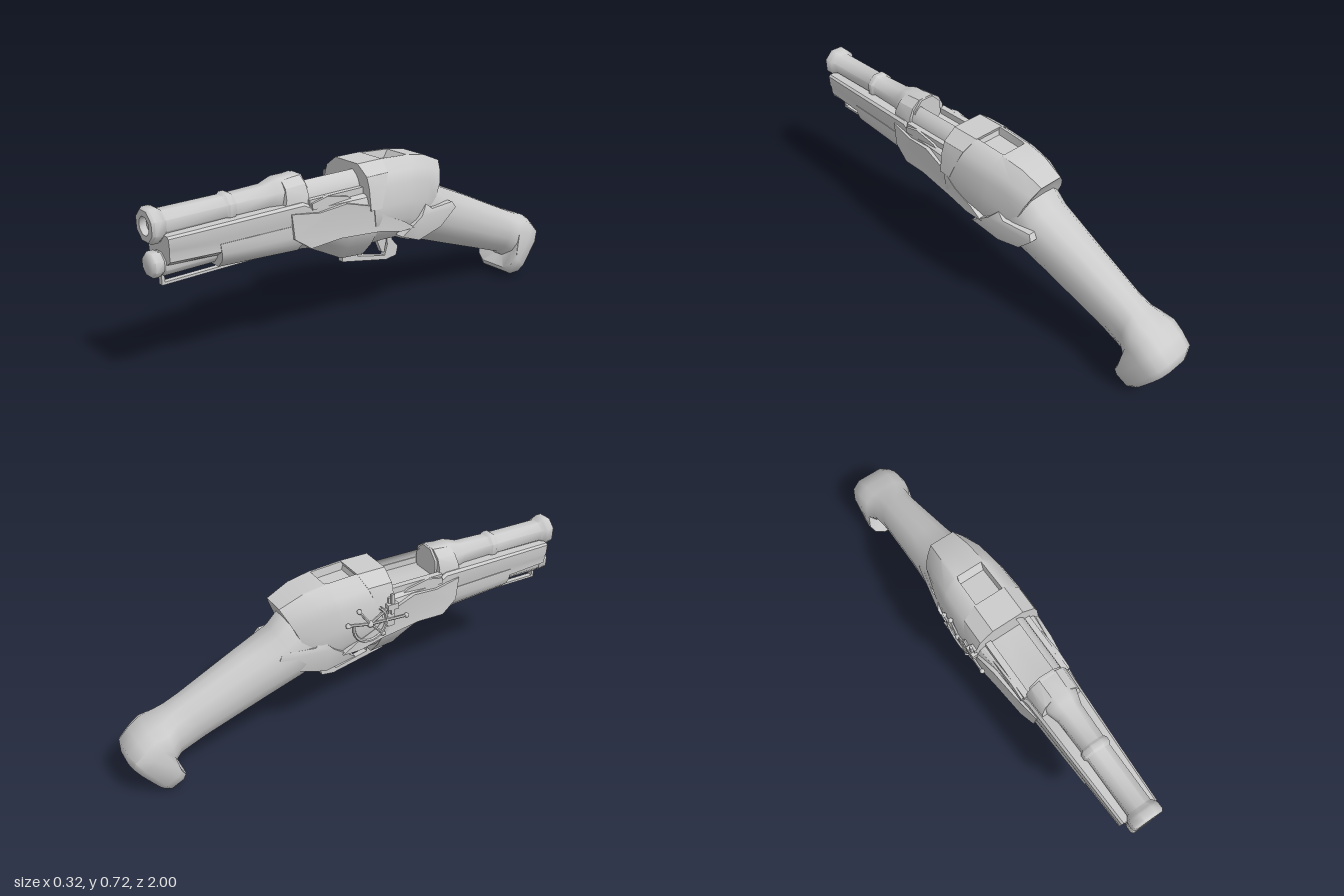
import * as THREE from 'three';
import { toCreasedNormals } from 'three/addons/utils/BufferGeometryUtils.js';

const mat = new THREE.MeshStandardMaterial({ color: 0xcccccc, side: THREE.DoubleSide });

function add(parent, name, geo, crease = 0.6) {
  const mesh = new THREE.Mesh(toCreasedNormals(geo, crease), mat);
  mesh.name = name;
  parent.add(mesh);
  return mesh;
}

// Skin mirrored half-sections ([x,y,z] from bottom centre to top centre), ordered front to back
function loft(rows) {
  const rings = rows.map(h => [...h, ...h.slice(1, -1).reverse().map(([x, y, z]) => [-x, y, z])]);
  const n = rings[0].length, pos = rings.flat(2), idx = [];
  for (let i = 0; i < rings.length - 1; i++) {
    for (let j = 0; j < n; j++) {
      const a = i * n + j, b = i * n + (j + 1) % n;
      idx.push(a, a + n, b, b, a + n, b + n);
    }
  }
  for (const [r, front] of [[0, true], [rings.length - 1, false]]) {
    const c = pos.length / 3;
    for (let k = 0; k < 3; k++) pos.push(rings[r].reduce((s, p) => s + p[k], 0) / n);
    for (let j = 0; j < n; j++) {
      const a = r * n + j, b = r * n + (j + 1) % n;
      idx.push(c, front ? a : b, front ? b : a);
    }
  }
  const g = new THREE.BufferGeometry();
  g.setAttribute('position', new THREE.Float32BufferAttribute(pos, 3));
  g.setIndex(idx);
  return g;
}

// Section hung between a top and a bottom point [z,y], scaled from a unit profile
const section = (profile, [zt, yt], [zb, yb], w) =>
  profile.map(([fx, f]) => [fx * w, yb + (yt - yb) * f, zb + (zt - zb) * f]);

// Side outline of [z,y] points made into a slab; half-width may vary with z
function slab(points, width, hole) {
  const v = p => p.map(([z, y]) => new THREE.Vector2(-z, y));
  const shape = new THREE.Shape(v(points));
  if (hole) shape.holes.push(new THREE.Path(v(hole)));
  const g = new THREE.ExtrudeGeometry(shape, { depth: 2, bevelEnabled: false });
  g.translate(0, 0, -1).rotateY(Math.PI / 2);
  const p = g.attributes.position;
  for (let i = 0; i < p.count; i++) {
    p.setX(i, p.getX(i) * (typeof width === 'number' ? width : width(p.getZ(i))));
  }
  return g;
}

// Eight-sided turned part along z, profile [radius,z] from back to front
const turned = (pts, y) => new THREE.LatheGeometry(pts.map(p => new THREE.Vector2(...p)), 8, Math.PI / 8)
  .rotateX(Math.PI / 2).translate(0, y, 0);

const box = (w, h, d, x, y, z) => new THREE.BoxGeometry(w, h, d).translate(x, y, z);

function rod(a, b, r) {
  const curve = new THREE.LineCurve3(new THREE.Vector3(...a), new THREE.Vector3(...b));
  return new THREE.TubeGeometry(curve, 1, r, 6);
}

export function createModel() {
  const root = new THREE.Group();
  root.name = 'sidearm';
  const gun = new THREE.Group();
  gun.name = 'body';
  gun.position.x = 0.005;
  root.add(gun);

  // Barrels
  add(gun, 'upperBarrel', turned([[0, 0.36], [0.075, 0.36], [0.075, 0.46], [0.068, 0.485], [0.056, 0.52],
    [0.052, 0.66], [0.06, 0.67], [0.06, 0.69], [0.052, 0.7], [0.052, 0.94], [0.064, 0.955], [0.068, 0.965],
    [0.068, 0.99], [0.06, 1], [0.036, 1], [0.032, 0.975], [0.02, 0.975], [0.018, 0.93], [0, 0.93]], 0.652), 0.9);
  add(gun, 'lowerBarrel', turned([[0, 0.4], [0.049, 0.4], [0.049, 0.95], [0.044, 0.955], [0.049, 0.965],
    [0.049, 0.99], [0.04, 1], [0, 1]], 0.508), 0.9);
  const clamp = [[0, 0], [1, 0], [1, 0.5], [0.8, 0.8], [0.4, 1], [0, 1]];
  add(gun, 'barrelClamp', loft([
    section(clamp, [0.455, 0.715], [0.48, 0.59], 0.086),
    section(clamp, [0.37, 0.722], [0.37, 0.59], 0.09)]), 0.5);

  // Forend shell, wider towards the receiver
  const forend = [[0, 0], [0.6, 0], [0.93, 0.16], [0.93, 0.42], [1, 0.56], [1, 0.93], [0.9, 1], [0, 1]];
  add(gun, 'forend', loft([
    section(forend, [0.955, 0.622], [0.95, 0.51], 0.08),
    section(forend, [0.75, 0.625], [0.75, 0.5], 0.088),
    section(forend, [0.4, 0.632], [0.4, 0.48], 0.103),
    section(forend, [0.36, 0.612], [0.36, 0.46], 0.108),
    section(forend, [0.08, 0.612], [0.08, 0.46], 0.13)]), 0.75);
  const keel = [[0, 0], [0.5, 0], [0.88, 0.3], [1, 0.6], [1, 1], [0, 1]];
  add(gun, 'forendKeel', loft([
    section(keel, [0.755, 0.55], [0.745, 0.45], 0.084),
    section(keel, [0.4, 0.55], [0.4, 0.43], 0.1)]), 0.75);

  // Cleaning rod with its front tab
  add(gun, 'underRod', box(0.022, 0.01, 0.63, 0, 0.43, 0.64));
  add(gun, 'rodTab', box(0.022, 0.05, 0.012, 0, 0.45, 0.95));

  // Lower frame ahead of the trigger
  const frame = [[0, 0], [0.32, 0], [0.68, 0.22], [0.95, 0.45], [1, 0.6], [1, 0.85], [0.9, 1], [0, 1]];
  add(gun, 'lowerFrame', loft([
    section(frame, [0.46, 0.57], [0.43, 0.432], 0.1),
    section(frame, [0.34, 0.58], [0.34, 0.42], 0.116),
    section(frame, [0.27, 0.595], [0.27, 0.385], 0.125),
    section(frame, [0.2, 0.6], [0.18, 0.338], 0.133),
    section(frame, [0.07, 0.6], [0.07, 0.33], 0.146)]), 0.7);
  const flank = z => 0.153 - Math.max(0, z - 0.08) * 0.125;
  add(gun, 'sidePanel', slab([[0.46, 0.6], [0.34, 0.585], [0.22, 0.6], [0.11, 0.57], [0.03, 0.51], [-0.06, 0.47],
    [-0.12, 0.43], [-0.04, 0.43], [0.06, 0.455], [0.25, 0.465], [0.38, 0.45], [0.45, 0.5]], flank), 0.4);

  // Open breech: raised wall on one side, low rails along both
  const wall = new THREE.CylinderGeometry(0.082, 0.082, 0.28, 6, 1, true, Math.PI * 0.45, Math.PI * 0.4);
  add(gun, 'breechWall', wall.rotateX(Math.PI / 2).translate(0, 0.625, 0.235));
  for (const s of [1, -1]) {
    add(gun, 'breechRail', box(0.026, 0.05, 0.28, s * 0.09, 0.613, 0.235));
    add(gun, 'breechLatch', slab([[0.37, 0.6], [0.37, 0.625], [0.3, 0.64], [0.2, 0.62], [0.17, 0.6]], 0.009))
      .position.x = s * 0.104;
  }

  // Receiver shell with a sunken window on top
  const receiver = (dip, shoulder) => [[0, 0], [0.55, 0], [0.82, 0.13], [1, 0.28], [1, 0.5], [0.94, 0.73],
    [shoulder, 0.87], [0.47, 1], [0.4, 1], [0.37, 1 - dip], [0, 1 - dip]];
  add(gun, 'receiver', loft([
    section(receiver(0, 0.82), [0.11, 0.722], [0.08, 0.385], 0.15),
    section(receiver(0, 0.82), [0, 0.722], [0, 0.385], 0.151),
    section(receiver(0.1, 0.82), [-0.01, 0.722], [-0.01, 0.385], 0.151),
    section(receiver(0.1, 0.82), [-0.135, 0.714], [-0.08, 0.38], 0.146),
    section(receiver(0, 0.82), [-0.15, 0.714], [-0.1, 0.37], 0.144),
    section(receiver(0, 0.82), [-0.25, 0.697], [-0.16, 0.345], 0.132),
    section(receiver(0, 0.76), [-0.345, 0.655], [-0.2, 0.345], 0.112),
    section(receiver(0, 0.72), [-0.315, 0.61], [-0.23, 0.36], 0.1)]), 0.75);
  const cap = [[0, 0], [1, 0], [0.92, 0.5], [0.82, 0.76], [0.45, 1], [0, 1]];
  add(gun, 'topCap', loft([
    section(cap, [0.115, 0.724], [0.115, 0.55], 0.153),
    section(cap, [-0.01, 0.7235], [0.06, 0.55], 0.153)]), 0.5);

  // Rear cheek guards that wrap the start of the grip, slimmer on the right
  for (const [s, base, taper] of [[1, 0.136, 0.1], [-1, 0.131, 0.22]]) {
    const cheek = slab([[-0.06, 0.4], [-0.16, 0.47], [-0.2, 0.51], [-0.23, 0.485], [-0.36, 0.485],
      [-0.375, 0.46], [-0.3, 0.385], [-0.18, 0.35]], 0.022);
    const p = cheek.attributes.position;
    for (let i = 0; i < p.count; i++) {
      const y = p.getY(i);
      const inset = Math.max(0, 0.42 - y) * 0.55 + Math.max(0, y - 0.46) * 0.4
        + Math.max(0, -0.16 - p.getZ(i)) * taper;
      p.setX(i, p.getX(i) + s * (base - inset));
    }
    add(gun, 'cheekGuard', cheek, 0.7);
  }

  // Grip with a narrow keel underneath and a flared, hooked butt
  const gripShape = [[0, 0], [0.22, 0], [0.72, 0.17], [0.96, 0.38], [1, 0.6], [0.86, 0.83], [0.5, 0.98], [0, 1]];
  const buttShape = [[0, 0], [0.55, 0], [0.88, 0.1], [1, 0.25], [1, 0.72], [0.85, 0.91], [0.5, 1], [0, 1]];
  add(gun, 'grip', loft([
    section(gripShape, [-0.2, 0.6], [-0.1, 0.365], 0.115),
    section(gripShape, [-0.31, 0.585], [-0.19, 0.338], 0.12),
    section(gripShape, [-0.355, 0.54], [-0.26, 0.312], 0.116),
    section(gripShape, [-0.5, 0.476], [-0.41, 0.256], 0.102),
    section(gripShape, [-0.75, 0.358], [-0.68, 0.158], 0.085),
    section(gripShape, [-0.81, 0.33], [-0.79, 0.118], 0.09),
    section(gripShape, [-0.85, 0.311], [-0.822, 0.094], 0.112),
    section(buttShape, [-0.91, 0.288], [-0.788, 0.05], 0.118),
    section(buttShape, [-0.955, 0.256], [-0.795, 0.03], 0.118),
    section(buttShape, [-0.998, 0.215], [-0.845, 0.002], 0.112),
    section(buttShape, [-1, 0.165], [-0.873, 0], 0.085)]), 0.95);

  // Trigger guard and trigger
  add(gun, 'triggerGuard', slab([[0.15, 0.36], [0.15, 0.305], [-0.09, 0.255], [-0.145, 0.262], [-0.155, 0.3],
    [-0.12, 0.34], [-0.12, 0.4], [0.15, 0.4]], 0.013,
    [[0.07, 0.31], [0.07, 0.385], [-0.09, 0.385], [-0.095, 0.32], [-0.08, 0.275]]), 0.3);
  add(gun, 'trigger', slab([[-0.03, 0.4], [-0.09, 0.4], [-0.09, 0.34], [-0.08, 0.29], [-0.065, 0.295], [-0.04, 0.35]], 0.01));

  // Exposed mechanism on the right flank
  const works = new THREE.Group();
  works.name = 'sideMechanism';
  gun.add(works);
  const x = -0.155;
  const arc = new THREE.TorusGeometry(0.075, 0.007, 6, 20, Math.PI * 1.35);
  add(works, 'arcRail', arc.rotateZ(2.2).rotateY(Math.PI / 2).translate(x, 0.54, 0), 1);
  const nodes = [[0, 0.54], [0.1, 0.6], [-0.1, 0.56], [0.06, 0.48], [0.17, 0.53], [-0.05, 0.61]];
  nodes.forEach(([z, y], i) => {
    add(works, 'pivot', new THREE.SphereGeometry(i ? 0.011 : 0.014, 8, 6).translate(x, y, z), 1);
    if (i) add(works, 'link', rod([x, 0.54, 0], [x, y, z], 0.006), 1);
  });
  add(works, 'leverBlock', box(0.024, 0.025, 0.05, x, 0.594, 0.1));
  add(works, 'leverPin', box(0.01, 0.09, 0.014, x - 0.003, 0.604, 0.1));
  add(works, 'mount', box(0.02, 0.13, 0.03, -0.142, 0.565, 0.1));
  return root;
}
